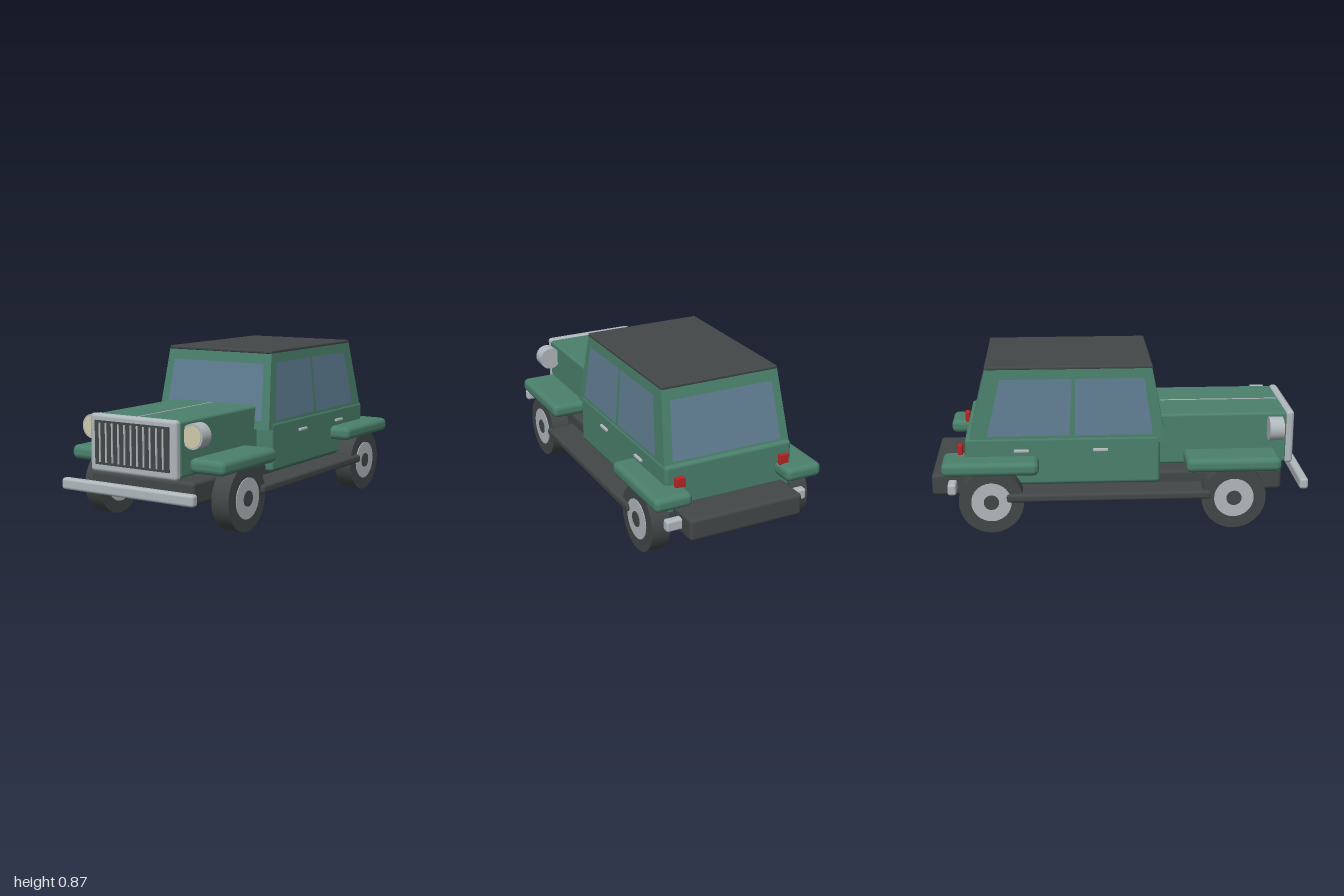
import * as THREE from 'three';
import { RoundedBoxGeometry } from 'three/addons/geometries/RoundedBoxGeometry.js';

const paint = (name, color, side = THREE.FrontSide) => {
  const m = new THREE.MeshStandardMaterial({ color, side });
  m.name = name;
  return m;
};

export function createModel() {
  const green = paint('green body', 0x4a806c);
  const dark = paint('dark rubber', 0x434747);
  const chrome = paint('chrome', 0xb0b8bd);
  const glass = paint('window glass', 0x5f7d92, THREE.DoubleSide);
  const cream = paint('lamp lens', 0xcfcbac);
  const red = paint('tail lamp red', 0xb52626);

  const car = new THREE.Group();
  car.name = 'offRoadCar';

  const add = (name, geometry, material, x = 0, y = 0, z = 0) => {
    const mesh = new THREE.Mesh(geometry, material);
    mesh.name = name;
    mesh.position.set(x, y, z);
    car.add(mesh);
    return mesh;
  };
  // Box given by its limits, with softened edges of radius r
  const box = (name, material, [x0, x1], [y0, y1], [z0, z1], r = 0) => {
    const size = [x1 - x0, y1 - y0, z1 - z0];
    const g = r ? new RoundedBoxGeometry(...size, 2, r) : new THREE.BoxGeometry(...size);
    return add(name, g, material, (x0 + x1) / 2, (y0 + y1) / 2, (z0 + z1) / 2);
  };
  // The same box on the left (+x) and the right
  const pair = (name, material, [x0, x1], y, z, r) => {
    box(name + 'Left', material, [x0, x1], y, z, r);
    box(name + 'Right', material, [-x1, -x0], y, z, r);
  };
  const quad = (name, a, b, c, d) => {
    const g = new THREE.BufferGeometry();
    g.setAttribute('position', new THREE.Float32BufferAttribute([a, b, c, d].flat(), 3));
    g.setIndex([0, 1, 2, 0, 2, 3]);
    g.computeVertexNormals();
    add(name, g, glass);
  };

  // Chassis, running boards and bumpers
  box('chassis', dark, [-0.318, 0.318], [0.16, 0.28], [-1, 0.87], 0.02);
  pair('runningBoard', dark, [0.3, 0.47], [0.17, 0.215], [-0.6, 0.47], 0.015);
  box('frontBumper', chrome, [-0.405, 0.405], [0.19, 0.25], [0.952, 1], 0.015);
  box('rearBumper', chrome, [-0.4, 0.4], [0.19, 0.25], [-0.912, -0.866], 0.012);

  // Lower body and hood
  box('lowerBody', green, [-0.36, 0.36], [0.23, 0.49], [-0.815, 0.21], 0.018);
  box('hood', green, [-0.264, 0.264], [0.298, 0.577], [0.15, 0.9], 0.015);
  box('hoodHinge', chrome, [-0.004, 0.004], [0.57, 0.58], [0.24, 0.885]);

  // Cabin: sloping on all four sides
  const base = 0.455, top = 0.852;
  const sideX = (y) => 0.358 - (y - base) * 0.078;
  const frontZ = (y) => 0.24 - (y - base) * 0.185;
  const rearZ = (y) => -0.8 + (y - base) * 0.25;
  const cabin = new THREE.BoxGeometry(2, 1, 2);
  const p = cabin.attributes.position;
  for (let i = 0; i < p.count; i++) {
    const y = p.getY(i) > 0 ? top : base;
    p.setXYZ(i, Math.sign(p.getX(i)) * sideX(y), y, p.getZ(i) > 0 ? frontZ(y) : rearZ(y));
  }
  cabin.computeVertexNormals();
  add('cabin', cabin, green);
  box('roof', dark, [-0.328, 0.328], [0.846, 0.866], [-0.703, 0.17], 0.008);

  // Windows, laid just outside the sloping walls
  const gap = 0.003, low = 0.5, high = 0.795;
  const endWindow = (name, wallZ, out) => {
    const at = (x, y) => [x, y, wallZ(y) + out];
    quad(name, at(-0.308, low), at(0.308, low), at(0.287, high), at(-0.287, high));
  };
  endWindow('windscreen', frontZ, gap);
  endWindow('rearWindow', rearZ, -gap);
  for (const s of [1, -1]) {
    const at = (z, y) => [s * (sideX(y) + gap), y, z];
    quad('frontDoorWindow', at(0.17, low), at(-0.24, low), at(-0.235, 0.8), at(0.125, 0.8));
    quad('rearDoorWindow', at(-0.268, low), at(-0.698, low), at(-0.627, 0.8), at(-0.252, 0.8));
  }

  // Door handles
  pair('frontDoorHandle', chrome, [0.355, 0.373], [0.412, 0.428], [-0.145, -0.065], 0.005);
  pair('rearDoorHandle', chrome, [0.355, 0.373], [0.412, 0.428], [-0.56, -0.48], 0.005);

  // Fenders and tail lamps
  pair('frontFender', green, [0.266, 0.473], [0.315, 0.391], [0.34, 0.842], 0.03);
  pair('rearFender', green, [0.266, 0.473], [0.315, 0.391], [-0.935, -0.43], 0.03);
  pair('tailLamp', red, [0.27, 0.323], [0.385, 0.44], [-0.855, -0.83], 0.005);

  // Grille with upright bars
  box('grilleSurround', chrome, [-0.266, 0.266], [0.29, 0.584], [0.89, 0.937], 0.018);
  box('grillePanel', dark, [-0.228, 0.228], [0.33, 0.552], [0.9, 0.943]);
  for (let i = -5; i <= 5; i++) {
    box('grilleBar', chrome, [i * 0.0388 - 0.004, i * 0.0388 + 0.004], [0.343, 0.542], [0.93, 0.949]);
  }

  // Headlamps
  const lampShell = new THREE.CylinderGeometry(0.063, 0.063, 0.075, 32).rotateX(Math.PI / 2);
  const lampLens = new THREE.CylinderGeometry(0.053, 0.053, 0.01, 32).rotateX(Math.PI / 2);
  for (const s of [1, -1]) {
    add('headlampShell', lampShell, chrome, s * 0.308, 0.503, 0.828);
    add('headlampLens', lampLens, cream, s * 0.308, 0.503, 0.864);
  }

  // Wheels: tyre, rim and hub cap as stacked discs
  const disc = (r, w) => new THREE.CylinderGeometry(r, r, w, 32).rotateZ(Math.PI / 2);
  const tyre = disc(0.17, 0.1), rim = disc(0.105, 0.108), cap = disc(0.04, 0.116);
  for (const x of [0.4, -0.4]) {
    for (const z of [0.594, -0.68]) {
      add('tyre', tyre, dark, x, 0.17, z);
      add('rim', rim, chrome, x, 0.17, z);
      add('hubCap', cap, dark, x, 0.17, z);
    }
  }
  return car;
}
